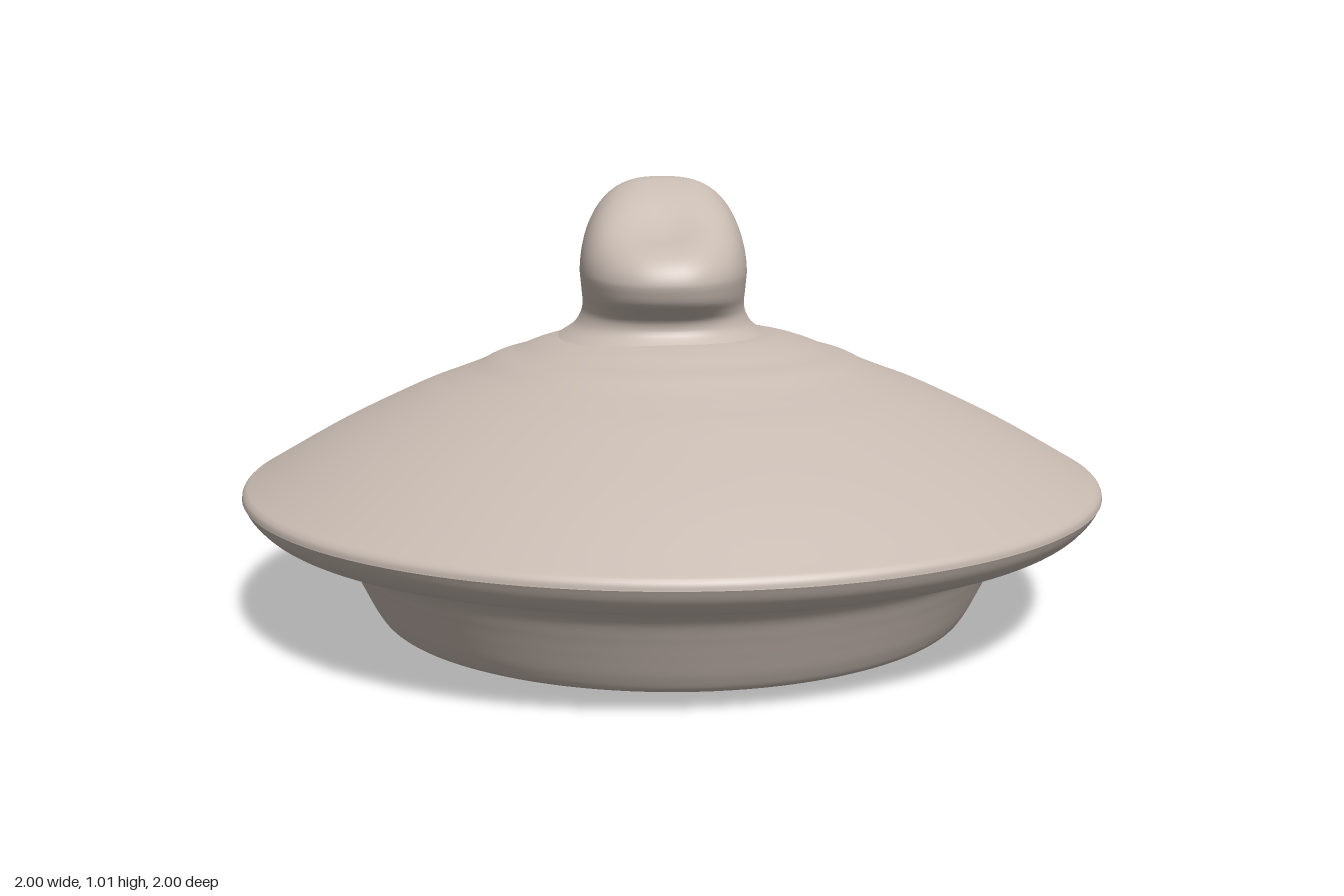
import * as THREE from 'three';
import { mergeVertices } from 'three/addons/utils/BufferGeometryUtils.js';

const clay = new THREE.MeshStandardMaterial({ color: 0xc7bab1 });
clay.name = 'clay';

// Smooth lathe through a few profile points
function turned(name, points, samples) {
  const curve = new THREE.SplineCurve(points.map(([r, y]) => new THREE.Vector2(r, y)));
  const profile = curve.getPoints(samples);
  profile.forEach((p) => { p.x = Math.max(p.x, 0); p.y = Math.max(p.y, 0); });
  const mesh = new THREE.Mesh(new THREE.LatheGeometry(profile, 128), clay);
  mesh.name = name;
  return mesh;
}

// Height of the knob's top: slopes down to one end, with a thumb-pressed hollow there
function knobTop(u, v) {
  const slope = THREE.MathUtils.smoothstep(u, -0.31, 0.09);
  const hollow = Math.exp(-(((u + 0.15) / 0.11) ** 2) - (v / 0.13) ** 2);
  return 0.125 + 0.093 * slope - 0.055 * hollow;
}

// Rounded-off ellipse coordinate, a little squarer than a true ellipse
const squarish = (c) => Math.sign(c) * Math.abs(c) ** 0.86;

function makeKnob() {
  const sides = 72;
  const rings = [];
  // Neck and underside: height, long radius, short radius
  const neck = [
    [0.61, 0.32, 0.31], [0.65, 0.265, 0.245], [0.675, 0.243, 0.21], [0.7, 0.246, 0.195],
    [0.725, 0.268, 0.19], [0.755, 0.293, 0.192], [0.8, 0.308, 0.196],
  ];
  const path = new THREE.CatmullRomCurve3(neck.map((p) => new THREE.Vector3(...p)));
  for (const p of path.getPoints(24)) rings.push({ y: p.x, a: p.y, b: p.z, s: 1 });
  // Domed top closing towards the middle
  for (let i = 1; i <= 28; i++) {
    rings.push({ y: 0.8, a: 0.308, b: 0.196, s: Math.cos((i / 28) * Math.PI / 2) });
  }

  const pos = [], index = [];
  rings.forEach(({ y, a, b, s }, j) => {
    for (let i = 0; i < sides; i++) {
      const t = (i / sides) * Math.PI * 2;
      const u = a * s * squarish(Math.cos(t)), v = b * s * squarish(Math.sin(t));
      const tilt = 0.07 * u * THREE.MathUtils.smoothstep(y, 0.68, 0.8);
      const h = y + tilt * s + knobTop(u, v) * Math.sqrt(Math.max(0, 1 - s ** 2.7));
      // The long axis runs diagonally across the lid
      pos.push((u + v) * Math.SQRT1_2 - 0.01, h, (v - u) * Math.SQRT1_2 - 0.02);
      if (j < rings.length - 1) {
        const p = j * sides + i, q = j * sides + (i + 1) % sides;
        index.push(p, p + sides, q, q, p + sides, q + sides);
      }
    }
  });
  let geo = new THREE.BufferGeometry();
  geo.setAttribute('position', new THREE.Float32BufferAttribute(pos, 3));
  geo.setIndex(index);
  geo = mergeVertices(geo, 1e-5);
  geo.computeVertexNormals();
  const mesh = new THREE.Mesh(geo, clay);
  mesh.name = 'knob';
  return mesh;
}

export function createModel() {
  const group = new THREE.Group();
  group.name = 'lid';

  // Bowl-shaped hollow underneath, from the middle of the ceiling down to the foot
  group.add(turned('hollow', [
    [0, 0.48], [0.1, 0.475], [0.2, 0.455], [0.3, 0.42], [0.4, 0.36], [0.49, 0.28],
    [0.555, 0.19], [0.595, 0.1], [0.615, 0.04], [0.63, 0.012], [0.655, 0.003],
  ], 60));

  // Skirt that sits inside the pot, up to the flange edge
  group.add(turned('skirt', [
    [0.655, 0.003], [0.69, 0.009], [0.713, 0.04], [0.738, 0.09], [0.76, 0.135], [0.785, 0.18],
    [0.82, 0.21], [0.88, 0.228], [0.945, 0.246], [0.98, 0.275], [0.998, 0.305],
  ], 60));

  // Sloping top with faint turned ridges round the knob
  group.add(turned('top', [
    [0.998, 0.305], [0.992, 0.322], [0.96, 0.342], [0.8, 0.432], [0.62, 0.518], [0.53, 0.553],
    [0.47, 0.576], [0.42, 0.6], [0.37, 0.615], [0.32, 0.634],
    [0.26, 0.65], [0.2, 0.655], [0.1, 0.656], [0, 0.656],
  ], 90));

  group.add(makeKnob());
  return group;
}
